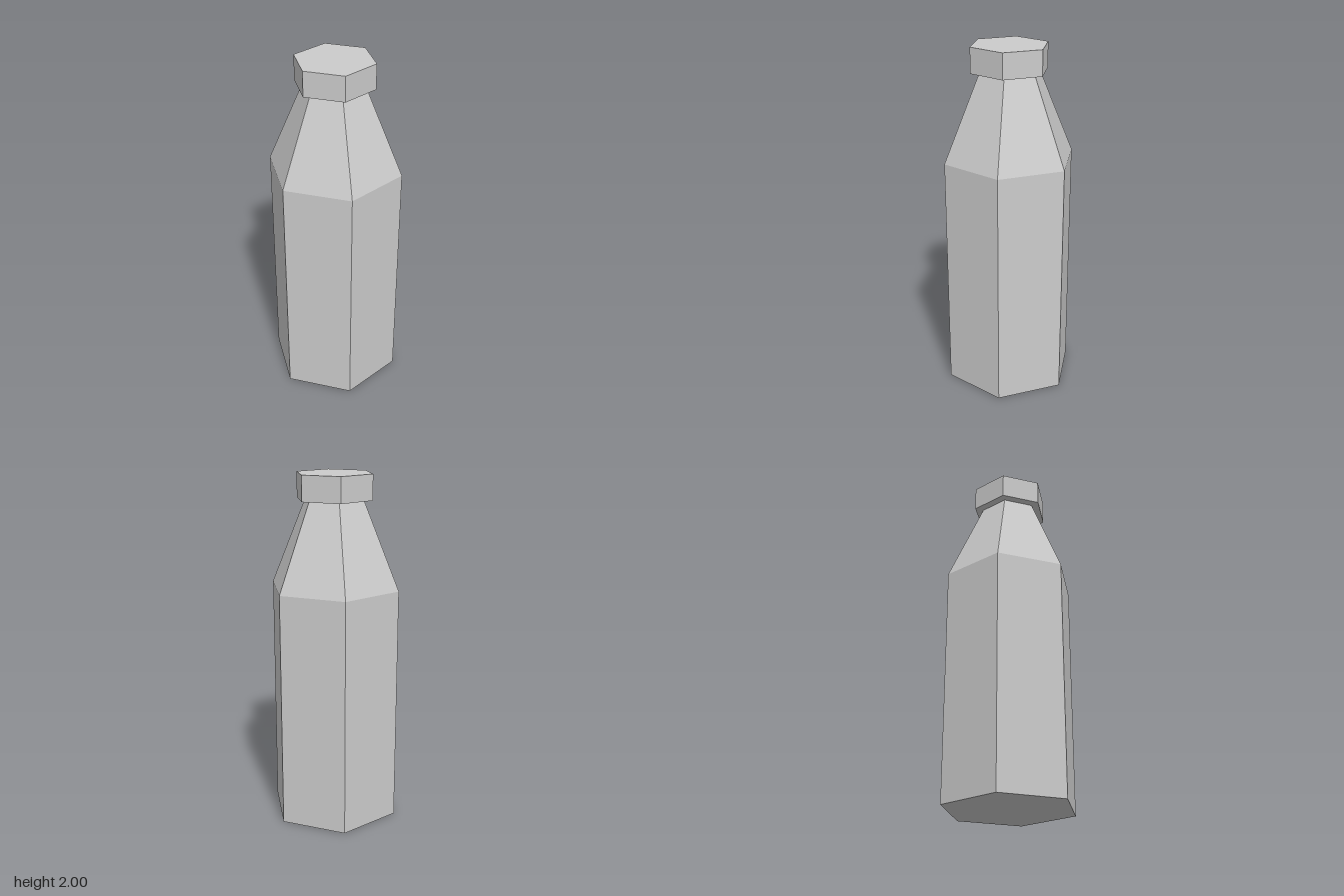
import * as THREE from 'three';

const SIDES = 6;

export function createModel() {
  const group = new THREE.Group();
  group.name = 'bottle';
  const material = new THREE.MeshStandardMaterial({ color: 0xcccccc, flatShading: true });

  const addPart = (name, geometry, y = 0) => {
    const mesh = new THREE.Mesh(geometry, material);
    mesh.name = name;
    mesh.position.y = y;
    group.add(mesh);
  };

  // Base, straight walls and tapered shoulder, as [radius, height]
  const profile = [[0, 0], [0.383, 0], [0.383, 1.365], [0.174, 1.857]];
  addPart('body', new THREE.LatheGeometry(profile.map(([r, y]) => new THREE.Vector2(r, y)), SIDES));

  // Cap overhanging the neck
  const capBottom = 1.857;
  const capHeight = 2 - capBottom;
  addPart('cap', new THREE.CylinderGeometry(0.225, 0.225, capHeight, SIDES), capBottom + capHeight / 2);

  return group;
}
